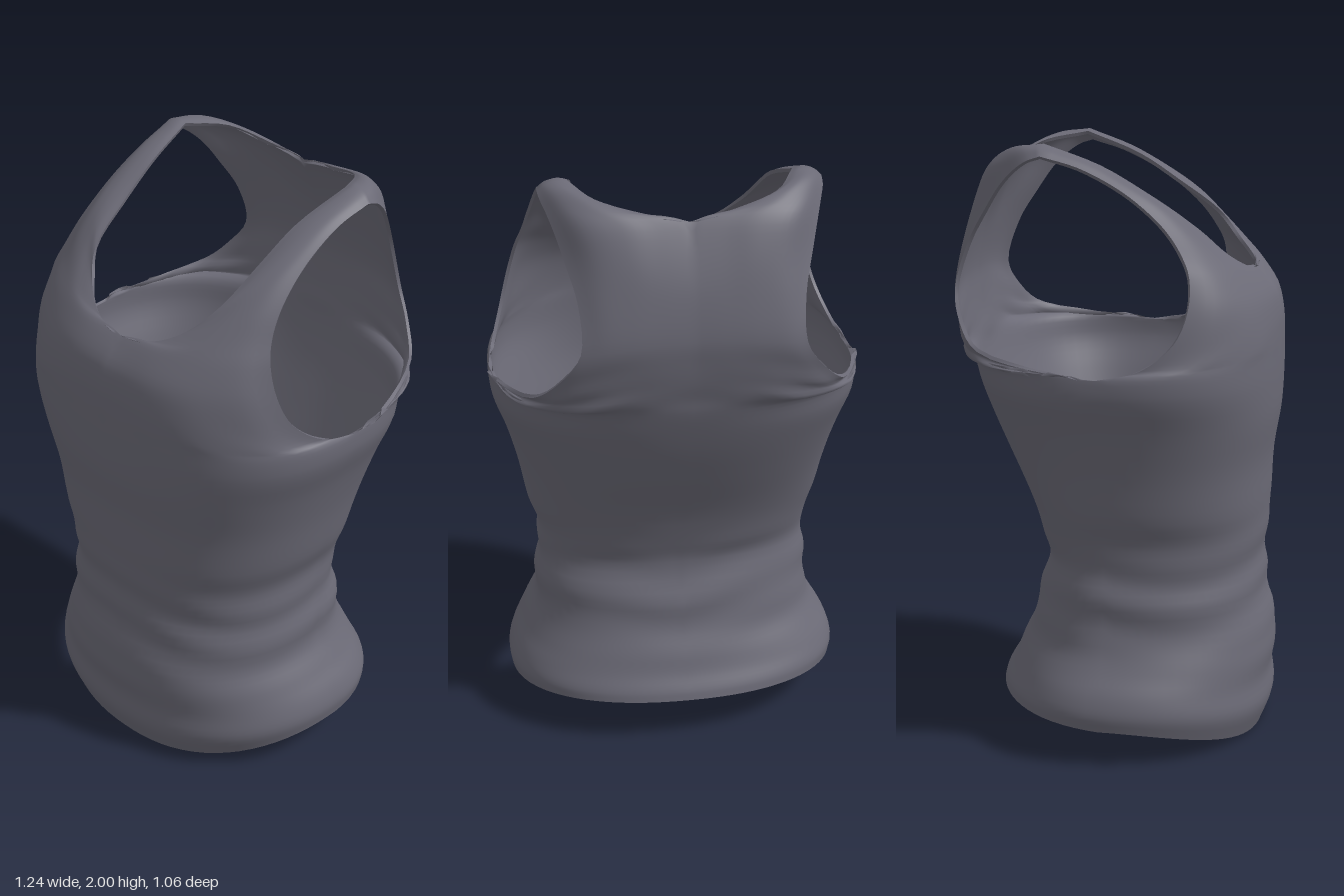
import * as THREE from 'three';
import { mergeGeometries, mergeVertices } from 'three/addons/utils/BufferGeometryUtils.js';

const COLS = 20, SUB = 4, THICK = 0.012;

// Body rings: side y, front y, back y, half width, front depth, back depth
const RINGS = [
  [0.12, 0.003, 0.16, 0.575, 0.48, 0.41],
  [0.17, 0.1, 0.19, 0.582, 0.515, 0.4],
  [0.23, 0.19, 0.24, 0.565, 0.508, 0.37],
  [0.3, 0.28, 0.3, 0.525, 0.52, 0.345],
  [0.38, 0.36, 0.38, 0.485, 0.512, 0.305],
  [0.5, 0.5, 0.48, 0.475, 0.485, 0.285],
  [0.6, 0.6, 0.62, 0.465, 0.48, 0.245],
  [0.7, 0.7, 0.7, 0.468, 0.488, 0.265],
  [0.8, 0.8, 0.82, 0.5, 0.495, 0.3],
  [0.95, 0.95, 0.99, 0.53, 0.502, 0.375],
  [1.1, 1.1, 1.12, 0.57, 0.525, 0.43],
  [1.22, 1.22, 1.22, 0.61, 0.53, 0.465],
  [1.29, 1.3, 1.3, 0.612, 0.53, 0.488],
];

// Chest rows, each from the armhole edge to the centre line or neckline
const FRONT = [
  [[0.59, 1.32, 0.14], [0.53, 1.33, 0.33], [0.38, 1.345, 0.465], [0.2, 1.355, 0.518], [0, 1.36, 0.53]],
  [[0.555, 1.4, 0.24], [0.5, 1.4, 0.355], [0.37, 1.415, 0.46], [0.2, 1.425, 0.512], [0, 1.43, 0.525]],
  [[0.525, 1.5, 0.28], [0.47, 1.5, 0.365], [0.35, 1.5, 0.445], [0.19, 1.505, 0.493], [0, 1.505, 0.503]],
  [[0.495, 1.6, 0.28], [0.43, 1.59, 0.35], [0.32, 1.58, 0.41], [0.17, 1.58, 0.445], [0, 1.578, 0.44]],
  [[0.47, 1.67, 0.25], [0.4, 1.66, 0.31], [0.31, 1.64, 0.365], [0.22, 1.615, 0.4], [0.12, 1.595, 0.418]],
  [[0.455, 1.74, 0.2], [0.4, 1.735, 0.248], [0.34, 1.715, 0.288], [0.28, 1.685, 0.322], [0.215, 1.645, 0.362]],
  [[0.445, 1.81, 0.125], [0.405, 1.812, 0.162], [0.365, 1.795, 0.2], [0.325, 1.768, 0.238], [0.285, 1.73, 0.28]],
  [[0.44, 1.87, 0.04], [0.41, 1.876, 0.062], [0.375, 1.87, 0.088], [0.342, 1.855, 0.11], [0.308, 1.83, 0.135]],
  [[0.44, 1.93, -0.08], [0.415, 1.942, -0.065], [0.385, 1.943, -0.048], [0.355, 1.935, -0.03], [0.325, 1.92, -0.01]],
];
const BACK = [
  [[0.6, 1.305, -0.15], [0.53, 1.31, -0.36], [0.37, 1.32, -0.47], [0.19, 1.34, -0.495], [0, 1.35, -0.495]],
  [[0.5, 1.35, -0.4], [0.42, 1.36, -0.46], [0.3, 1.385, -0.495], [0.15, 1.4, -0.508], [0, 1.41, -0.508]],
  [[0.42, 1.43, -0.475], [0.36, 1.44, -0.495], [0.25, 1.46, -0.513], [0.13, 1.47, -0.52], [0, 1.48, -0.517]],
  [[0.355, 1.53, -0.505], [0.29, 1.54, -0.52], [0.2, 1.55, -0.527], [0.1, 1.56, -0.526], [0, 1.56, -0.522]],
  [[0.355, 1.68, -0.46], [0.29, 1.69, -0.488], [0.2, 1.695, -0.5], [0.1, 1.7, -0.5], [0, 1.7, -0.497]],
  [[0.385, 1.79, -0.395], [0.3, 1.815, -0.445], [0.2, 1.82, -0.463], [0.1, 1.815, -0.46], [0, 1.81, -0.455]],
  [[0.41, 1.87, -0.34], [0.33, 1.905, -0.4], [0.22, 1.915, -0.418], [0.11, 1.91, -0.412], [0, 1.908, -0.402]],
  [[0.43, 1.92, -0.29], [0.375, 1.95, -0.335], [0.3, 1.957, -0.367], [0.22, 1.95, -0.378], [0.14, 1.935, -0.38]],
  [[0.445, 1.95, -0.245], [0.41, 1.98, -0.268], [0.37, 1.99, -0.288], [0.33, 1.985, -0.305], [0.28, 1.968, -0.33]],
];
const SHOULDER = [[0.45, 1.965, -0.2], [0.43, 1.985, -0.2], [0.405, 1.997, -0.2], [0.38, 2, -0.2], [0.355, 1.992, -0.2]];

const spline = (pts) => new THREE.CatmullRomCurve3(pts);
const vec = (p) => new THREE.Vector3(...p);

// Quarter of a body ring, from the side seam to the centre
function ringRow([ys, yf, yb, w, df, db], side) {
  const power = 2 / (2.2 + 0.4 * ys / 1.3);
  const pts = [];
  for (let i = 0; i <= 24; i++) {
    const a = (i / 24) * Math.PI / 2;
    const s = Math.pow(Math.sin(a), power);
    const y = side > 0 ? ys + (yf - ys) * s * s : ys + (yb - ys) * s;
    pts.push(new THREE.Vector3(w * Math.pow(Math.max(Math.cos(a), 0), power), y, side * s * (side > 0 ? df : db)));
  }
  return spline(pts).getSpacedPoints(COLS);
}

// Smooth column through the rows, with corners kept at the given row
function column(pts, corner) {
  const sample = (list) => spline(list).getPoints((list.length - 1) * SUB);
  if (!corner) return sample(pts);
  return [...sample(pts.slice(0, corner + 1)), ...sample(pts.slice(corner)).slice(1)];
}

function quarter(side, mirror) {
  const upper = side > 0 ? FRONT : BACK;
  const rows = [
    ...RINGS.map((r) => ringRow(r, side)),
    ...[...upper, SHOULDER].map((r) => spline(r.map(vec)).getSpacedPoints(COLS)),
  ];
  const armpit = RINGS.length - 1;
  const neck = RINGS.length + upper.findLastIndex((r) => r[4][0] === 0);
  const pos = [], index = [];
  const n = (rows.length - 1) * SUB + 1;
  for (let c = 0; c <= COLS; c++) {
    const corner = c === 0 ? armpit : c === COLS ? neck : 0;
    for (const p of column(rows.map((r) => r[c]), corner)) pos.push(p.x * mirror, p.y, p.z);
  }
  for (let c = 0; c < COLS; c++) {
    for (let r = 0; r < n - 1; r++) {
      const a = c * n + r, b = a + n;
      if (side * mirror > 0) index.push(a, a + 1, b, b, a + 1, b + 1);
      else index.push(a, b, a + 1, b, b + 1, a + 1);
    }
  }
  const g = new THREE.BufferGeometry();
  g.setAttribute('position', new THREE.Float32BufferAttribute(pos, 3));
  g.setIndex(index);
  return g;
}

// Soft cloth folds around the waist
function addFolds(g) {
  const p = g.attributes.position;
  for (let i = 0; i < p.count; i++) {
    const x = p.getX(i), y = p.getY(i), z = p.getZ(i), a = Math.atan2(z, x);
    const k = 1 + 0.013 * Math.exp(-(((y - 0.52) / 0.17) ** 2)) * Math.sin(y * 40 + 1.3 * Math.sin(3 * a) + Math.cos(a));
    p.setXYZ(i, x * k, y, z * k);
  }
}

// Strip closing the cloth thickness along every open edge
function rimGeometry(outer, inner) {
  const idx = outer.index.array, edges = new Map();
  for (let i = 0; i < idx.length; i += 3) {
    for (let k = 0; k < 3; k++) {
      const a = idx[i + k], b = idx[i + (k + 1) % 3];
      if (!edges.delete(b + '_' + a)) edges.set(a + '_' + b, [a, b]);
    }
  }
  const pos = [], o = outer.attributes.position, n = inner.attributes.position;
  const put = (attr, i) => pos.push(attr.getX(i), attr.getY(i), attr.getZ(i));
  for (const [a, b] of edges.values()) {
    put(o, b); put(o, a); put(n, a);
    put(o, b); put(n, a); put(n, b);
  }
  let g = new THREE.BufferGeometry();
  g.setAttribute('position', new THREE.Float32BufferAttribute(pos, 3));
  g = mergeVertices(g, 1e-5);
  g.computeVertexNormals();
  return g;
}

export function createModel() {
  const cloth = new THREE.MeshStandardMaterial({ color: 0x6b6a76, side: THREE.DoubleSide });
  cloth.name = 'greyCloth';

  // Outer cloth from four mirrored quarters
  const parts = [];
  for (const side of [1, -1]) for (const mirror of [1, -1]) parts.push(quarter(side, mirror));
  const outer = mergeVertices(mergeGeometries(parts), 1e-4);
  addFolds(outer);
  outer.computeVertexNormals();

  // Inner cloth, offset inward and turned around
  const inner = outer.clone();
  const p = inner.attributes.position, nor = outer.attributes.normal;
  for (let i = 0; i < p.count; i++) {
    p.setXYZ(i, p.getX(i) - nor.getX(i) * THICK, p.getY(i) - nor.getY(i) * THICK, p.getZ(i) - nor.getZ(i) * THICK);
  }
  inner.setIndex(Array.from(outer.index.array).reverse());
  inner.computeVertexNormals();

  const group = new THREE.Group();
  group.name = 'tankTop';
  const add = (name, geometry) => {
    const mesh = new THREE.Mesh(geometry, cloth);
    mesh.name = name;
    group.add(mesh);
  };
  add('outerCloth', outer);
  add('lining', inner);
  add('edgeRims', rimGeometry(outer, inner));
  return group;
}
